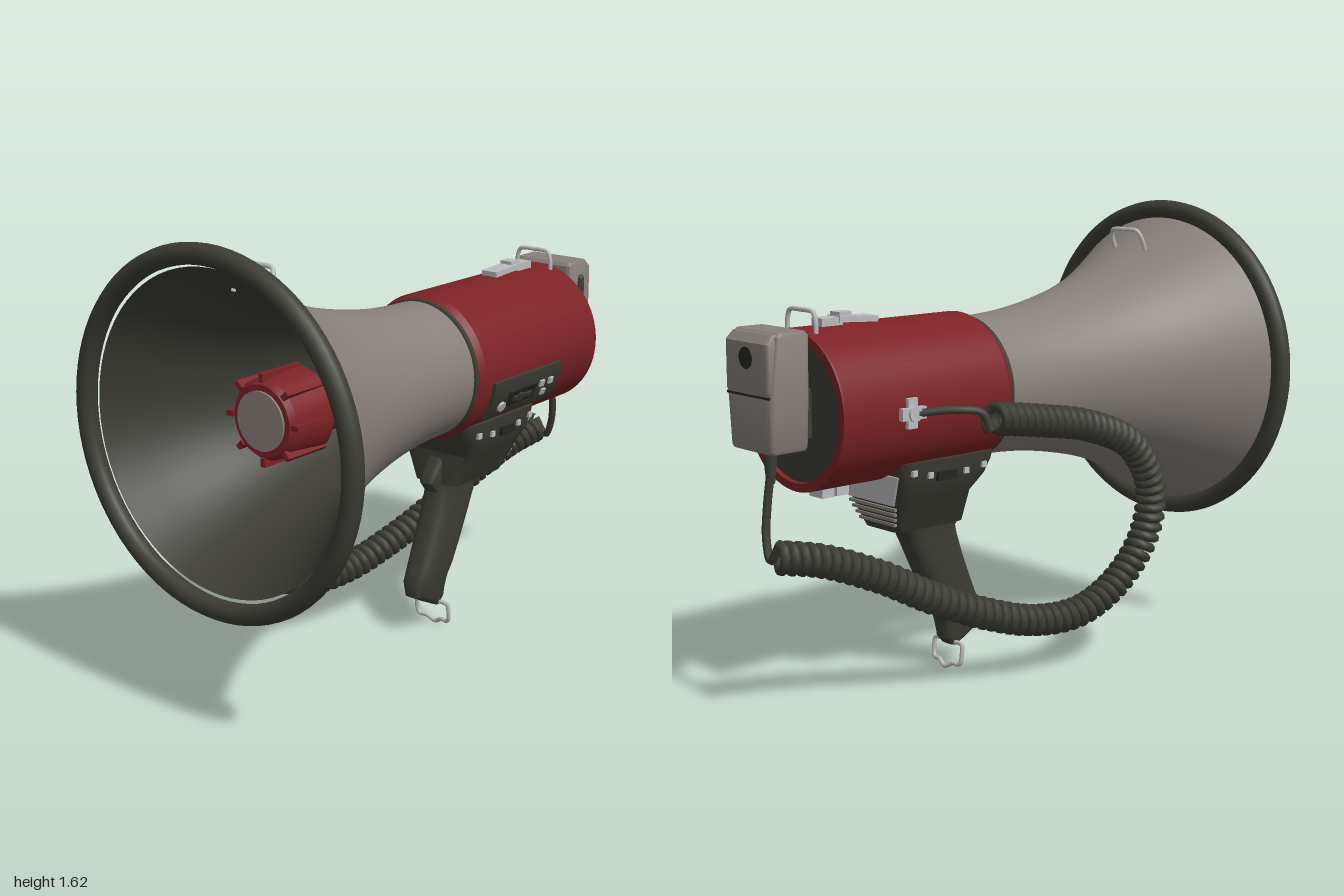
import * as THREE from 'three';
import { toCreasedNormals } from 'three/addons/utils/BufferGeometryUtils.js';

const AXIS = 1.01; // height of the horn axis
const mat = (name, color, side = THREE.FrontSide) => {
  const m = new THREE.MeshStandardMaterial({ color, side });
  m.name = name;
  return m;
};
const V = (p) => new THREE.Vector3(...p);

// Helix wound round a spine curve
class Coil extends THREE.Curve {
  constructor(spine, radius, turns) {
    super();
    Object.assign(this, { spine, radius, turns });
  }
  getUtoTmapping(u) { return u; }
  getPoint(t) {
    const T = this.spine.getTangentAt(t);
    const N = T.clone().cross(V([0, 0, 1])).normalize();
    const B = T.clone().cross(N);
    const a = t * this.turns * Math.PI * 2;
    return this.spine.getPointAt(t)
      .addScaledVector(N, Math.cos(a) * this.radius)
      .addScaledVector(B, Math.sin(a) * this.radius);
  }
}

// Stacked superellipse sections [y, x0, x1, halfDepth], capped at both ends
function loft(sections, power, n = 32) {
  const first = sections[0], last = sections[sections.length - 1];
  const point = (s) => [s[0], (s[1] + s[2]) / 2, (s[1] + s[2]) / 2, 0];
  const rings = [point(first), ...sections, point(last)];
  const pos = [], idx = [];
  const f = (v) => Math.sign(v) * Math.abs(v) ** (2 / power);
  for (const [y, x0, x1, hz] of rings) {
    for (let i = 0; i < n; i++) {
      const a = ((i + 0.5) / n) * Math.PI * 2;
      pos.push((x0 + x1) / 2 + f(Math.cos(a)) * (x1 - x0) / 2, y, f(Math.sin(a)) * hz);
    }
  }
  for (let r = 0; r < rings.length - 1; r++) {
    for (let i = 0; i < n; i++) {
      const a = r * n + i, b = r * n + (i + 1) % n, c = a + n, d = b + n;
      idx.push(a, c, b, b, c, d);
    }
  }
  const g = new THREE.BufferGeometry();
  g.setAttribute('position', new THREE.Float32BufferAttribute(pos, 3));
  g.setIndex(idx);
  return toCreasedNormals(g, 0.6);
}

export function createModel() {
  const root = new THREE.Group();
  root.name = 'megaphone';
  const grey = mat('warm grey', 0x88807a);
  const red = mat('deep red', 0x7c2225);
  const dark = mat('dark olive', 0x3c3c34);
  const black = mat('black', 0x24241f);
  const silver = mat('silver', 0xbcbcbe, THREE.DoubleSide);

  const add = (name, geo, m, p = [0, 0, 0], parent = root) => {
    const mesh = new THREE.Mesh(geo, m);
    mesh.name = name;
    mesh.position.set(...p);
    parent.add(mesh);
    return mesh;
  };
  const box = (name, size, p, m, parent) => add(name, new THREE.BoxGeometry(...size), m, p, parent);
  // Turned part along the horn axis from [radius, x] pairs
  const turned = (name, pts, m, crease = 0.5) => {
    const g = new THREE.LatheGeometry(pts.map(([r, x]) => new THREE.Vector2(r, x)), 72);
    return add(name, toCreasedNormals(g.rotateZ(-Math.PI / 2), crease), m, [0, AXIS, 0]);
  };
  const disc = (name, r, x0, x1, m, p = [0, AXIS, 0], n = 40) =>
    add(name, new THREE.CylinderGeometry(r, r, x1 - x0, n).rotateZ(-Math.PI / 2), m, [(x0 + x1) / 2, p[1], p[2]]);
  const tube = (name, pts, r, m, seg = 40, tension = 0.5) =>
    add(name, new THREE.TubeGeometry(new THREE.CatmullRomCurve3(pts.map(V), false, 'catmullrom', tension), seg, r, 8), m);
  // Small box seated on the barrel at angle a (0 = front, +90 = top)
  const onBody = (name, size, x, deg, r, m) => {
    const a = THREE.MathUtils.degToRad(deg);
    const b = box(name, size, [x, AXIS + r * Math.sin(a), r * Math.cos(a)], m);
    b.rotation.x = -a;
    return b;
  };

  // Horn: flared shell, dark lining and rubber rim
  const flare = [[0.545, -0.95], [0.5, -0.87], [0.455, -0.79], [0.405, -0.69], [0.362, -0.59], [0.325, -0.48],
    [0.297, -0.37], [0.273, -0.25], [0.255, -0.12], [0.247, 0], [0.245, 0.09]];
  const profile = new THREE.SplineCurve(flare.map((p) => new THREE.Vector2(...p)))
    .getPoints(40).map((p) => [p.x, p.y]);
  turned('hornShell', profile, grey);
  turned('hornLining', [[0, 0.05], ...profile.map(([r, x]) => [r - 0.012, x]).filter(([, x]) => x < 0.05).reverse()], dark);
  add('hornRim', new THREE.TorusGeometry(0.576, 0.035, 16, 80).rotateY(Math.PI / 2), dark, [-0.965, AXIS, 0]);

  // Inner reflex tube with a ribbed red cap
  disc('reflexTube', 0.1, -0.56, 0.05, dark);
  turned('reflexCap', [[0, -0.74], [0.12, -0.74], [0.135, -0.72], [0.15, -0.56], [0, -0.56]], red);
  disc('reflexCapFace', 0.1, -0.748, -0.73, grey);
  for (let i = 0; i < 8; i++) {
    const a = (i / 8) * Math.PI * 2;
    const rib = box('reflexCapRib', [0.18, 0.03, 0.018], [-0.65, AXIS + Math.cos(a) * 0.142, Math.sin(a) * 0.142], red);
    rib.rotation.x = a;
  }

  // Barrel
  turned('barrelCollar', [[0.24, 0.07], [0.252, 0.075], [0.252, 0.1]], dark);
  turned('barrel', [[0.24, 0.088], [0.252, 0.09], [0.267, 0.112], [0.267, 0.815], [0.264, 0.82], [0.237, 0.82], [0.235, 0.795]], red);
  disc('barrelEnd', 0.237, 0.6, 0.803, dark, undefined, 60);

  // Control panel curved round the barrel's front
  const sector = new THREE.Shape();
  sector.absarc(0, 0, 0.282, -0.63, -0.09, false);
  sector.absarc(0, 0, 0.25, -0.09, -0.63, true);
  const panel = new THREE.ExtrudeGeometry(sector, { depth: 0.415, bevelEnabled: false, curveSegments: 12 });
  // shape x becomes +z, shape y stays up, depth runs along -x
  add('controlPanel', toCreasedNormals(panel.rotateY(-Math.PI / 2), 0.5), dark, [0.57, AXIS, 0]);
  onBody('panelInset', [0.17, 0.06, 0.01], 0.335, -22, 0.28, black);
  onBody('panelSlider', [0.11, 0.016, 0.014], 0.335, -22, 0.284, dark);
  onBody('panelSliderKnob', [0.025, 0.03, 0.016], 0.32, -22, 0.285, dark);
  const knob = add('panelKnob', new THREE.CylinderGeometry(0.02, 0.02, 0.014, 8).rotateX(Math.PI / 2), silver,
    [0.22, 0.885, 0.256]);
  knob.rotation.x = 0.45;
  for (const [x, deg] of [[0.45, -17.5], [0.505, -17.5], [0.477, -26]])
    onBody('panelButton', [0.024, 0.024, 0.014], x, deg, 0.283, silver);

  // Pistol grip and its saddle under the barrel
  add('gripSaddle', loft([[0.56, 0.16, 0.465, 0.095], [0.62, 0.165, 0.485, 0.125], [0.68, 0.17, 0.5, 0.155],
    [0.74, 0.13, 0.515, 0.19], [0.79, 0.105, 0.53, 0.2], [0.82, 0.1, 0.535, 0.205]], 8, 40), dark);
  add('grip', loft([[0.09, 0.14, 0.165, 0.032], [0.12, 0.08, 0.195, 0.04], [0.15, 0.025, 0.2, 0.046], [0.2, 0.02, 0.21, 0.055],
    [0.25, 0.045, 0.24, 0.06], [0.32, 0.075, 0.275, 0.062], [0.42, 0.115, 0.325, 0.062], [0.5, 0.14, 0.365, 0.06],
    [0.545, 0.15, 0.39, 0.06], [0.6, 0.16, 0.45, 0.075]], 3), dark);
  add('trigger', loft([[0.53, 0.14, 0.2, 0.03], [0.57, 0.11, 0.2, 0.035], [0.6, 0.12, 0.2, 0.035], [0.66, 0.17, 0.22, 0.035]], 4, 20), dark);

  // Light plate and ribs on the back of the saddle
  const plate = new THREE.Shape([[-0.12, 0.665], [0.12, 0.665], [0.18, 0.775], [-0.18, 0.775]].map((p) => new THREE.Vector2(...p)));
  const plateGeo = new THREE.ExtrudeGeometry(plate, { depth: 0.008, bevelEnabled: false }).rotateY(Math.PI / 2);
  plateGeo.translate(0.5, 0, 0);
  const pp = plateGeo.attributes.position;
  for (let i = 0; i < pp.count; i++) pp.setX(i, pp.getX(i) + (pp.getY(i) - 0.665) * 0.27);
  add('saddleBackPlate', plateGeo, silver);
  for (let i = 0; i < 4; i++)
    box('saddleRib', [0.012, 0.01, 0.19 + i * 0.018], [0.476 + i * 0.007, 0.59 + i * 0.02, 0], grey);

  // Saddle rivets and latch on both sides
  for (const s of [1, -1]) {
    for (const [x, y] of [[0.17, 0.775], [0.25, 0.765], [0.41, 0.77], [0.48, 0.785]])
      box('saddleRivet', [0.02, 0.02, 0.014], [x, y, s * 0.198], silver);
    box('saddleLatch', [0.08, 0.03, 0.03], [0.34, 0.762, s * 0.193], black);
  }

  // Wire loops: lanyard loop, horn ring, barrel ring
  const loop = (name, x0, y0, x1, y1, h) => {
    const k = (t) => [x0 + (x1 - x0) * t, y0 + (y1 - y0) * t];
    return tube(name, [[...k(0), -h], [...k(0.6), -h], [...k(0.93), -h * 0.85], [...k(1), -h * 0.55], [...k(1), 0],
      [...k(1), h * 0.55], [...k(0.93), h * 0.85], [...k(0.6), h], [...k(0), h]], 0.008, silver);
  };
  loop('hornRing', -0.775, 1.43, -0.737, 1.52, 0.075);
  loop('barrelRing', 0.78, 1.24, 0.78, 1.335, 0.075);
  tube('lanyardLoop', [[0.155, 0.1, 0], [0.155, 0.1, -0.06], [0.157, 0.09, -0.073], [0.162, 0.04, -0.073], [0.165, 0.025, -0.06],
    [0.168, 0.025, -0.035], [0.175, 0.008, 0], [0.168, 0.025, 0.035], [0.165, 0.025, 0.06], [0.162, 0.04, 0.073],
    [0.157, 0.09, 0.073], [0.155, 0.1, 0.06], [0.155, 0.1, 0]], 0.008, silver, 70);

  // Clip on top, lugs below
  const clip = box('topClip', [0.16, 0.02, 0.066], [0.57, 1.29, 0], silver);
  clip.rotation.z = 0.06;
  box('topClipCatch', [0.085, 0.028, 0.056], [0.677, 1.288, 0], silver);
  box('topClipRidge', [0.05, 0.012, 0.05], [0.62, 1.311, 0], silver);
  for (const x of [0.65, 0.71]) box('bottomLug', [0.05, 0.04, 0.07], [x, 0.732, 0], silver);

  // Microphone
  const mic = new THREE.Group();
  mic.name = 'microphone';
  root.add(mic);
  add('micBody', loft([[0.9, 0.845, 0.985, 0.107], [0.91, 0.84, 0.99, 0.112], [1.078, 0.84, 0.993, 0.122],
    [1.27, 0.84, 0.97, 0.124], [1.283, 0.85, 0.955, 0.118]], 12, 40), grey, [0, 0, 0], mic);
  add('micFace', loft([[1.085, 0.9, 0.998, 0.11], [1.095, 0.9, 1, 0.116], [1.25, 0.9, 1, 0.116], [1.278, 0.9, 0.975, 0.108]], 12, 40),
    grey, [0, 0, 0], mic);
  box('micSeam', [0.008, 0.008, 0.225], [0.992, 1.081, 0], black, mic);
  disc('micGrille', 0.035, 0.99, 1.002, black, [0, 1.2, 0], 24);
  add('micButton', new THREE.CapsuleGeometry(0.017, 0.135, 6, 12), dark, [0.917, 1.145, 0.121], mic);
  box('micHanger', [0.06, 0.16, 0.15], [0.82, 1.01, 0], dark, mic);
  add('micStrainRelief', new THREE.CylinderGeometry(0.026, 0.014, 0.12, 16), dark, [0.915, 0.845, 0], mic);

  // Coiled cord with straight leads at both ends
  const spine = new THREE.CatmullRomCurve3([[0.96, 0.565, -0.09], [0.8, 0.53, -0.12], [0.6, 0.45, -0.16], [0.4, 0.345, -0.2],
    [0.2, 0.26, -0.245], [0, 0.205, -0.285], [-0.2, 0.21, -0.315], [-0.38, 0.3, -0.33], [-0.5, 0.45, -0.34], [-0.52, 0.62, -0.345],
    [-0.42, 0.78, -0.345], [-0.2, 0.88, -0.345], [0.05, 0.93, -0.345], [0.27, 0.965, -0.35]].map(V));
  const turns = Math.round(spine.getLength() / 0.037);
  const coil = new Coil(spine, 0.041, turns);
  add('coiledCord', new THREE.TubeGeometry(coil, turns * 14, 0.0175, 7), dark);
  tube('micLead', [[0.915, 0.82, 0], [0.93, 0.72, 0], [0.945, 0.62, -0.01], [0.955, 0.545, -0.045], coil.getPoint(0).toArray()], 0.014, dark);
  tube('plugLead', [coil.getPoint(1).toArray(), [0.3, 0.985, -0.33], [0.38, 1, -0.3], [0.47, 1.005, -0.288], [0.54, 1.005, -0.284]], 0.014, dark);

  // Plug socket on the back of the barrel
  box('socketBar', [0.1, 0.04, 0.03], [0.55, 1.005, -0.272], silver);
  box('socketCross', [0.04, 0.1, 0.02], [0.55, 1.005, -0.268], silver);
  add('socketBoss', new THREE.CylinderGeometry(0.026, 0.026, 0.03, 16).rotateX(Math.PI / 2), silver, [0.55, 1.005, -0.28]);

  return root;
}
